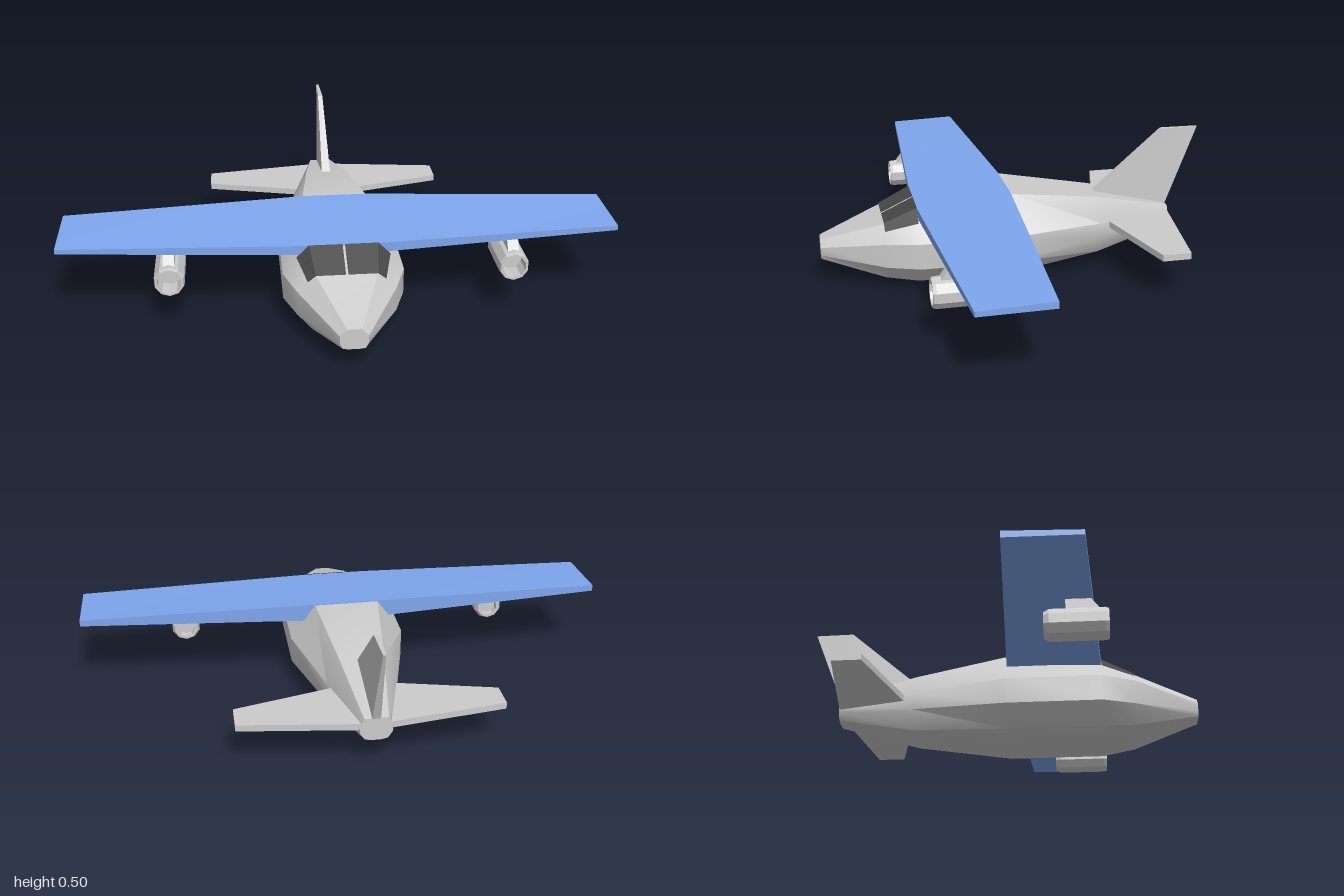
import * as THREE from 'three';
import { toCreasedNormals } from 'three/addons/utils/BufferGeometryUtils.js';

const grey = new THREE.MeshStandardMaterial({ color: 0xcccccc });
const facet = new THREE.MeshStandardMaterial({ color: 0xcccccc, flatShading: true });
const blue = new THREE.MeshStandardMaterial({ color: 0x7ea6ee });
const glass = new THREE.MeshStandardMaterial({ color: 0x484848, side: THREE.DoubleSide });

// Skins a list of equal-length rings of [x, y, z] points and caps both ends
function loft(rings, crease = 0.2) {
  const n = rings[0].length;
  const tris = [];
  for (let i = 0; i < rings.length - 1; i++) {
    for (let j = 0; j < n; j++) {
      const k = (j + 1) % n;
      const [a, b, c, d] = [rings[i][j], rings[i][k], rings[i + 1][k], rings[i + 1][j]];
      tris.push([a, b, c], [a, c, d]);
    }
  }
  const last = rings[rings.length - 1];
  for (let j = 1; j < n - 1; j++) {
    tris.push([rings[0][0], rings[0][j + 1], rings[0][j]], [last[0], last[j], last[j + 1]]);
  }
  // turn the faces outward if the enclosed volume comes out negative
  let volume = 0;
  for (const t of tris) {
    const [a, b, c] = t.map((p) => new THREE.Vector3(...p));
    volume += a.dot(b.cross(c));
  }
  if (volume < 0) tris.forEach((t) => t.reverse());
  const geo = new THREE.BufferGeometry();
  geo.setAttribute('position', new THREE.Float32BufferAttribute(tris.flat(2), 3));
  geo.computeVertexNormals();
  return toCreasedNormals(geo, crease);
}

export function createModel() {
  const model = new THREE.Group();
  const add = (name, geo, mat, parent = model) => {
    const mesh = new THREE.Mesh(geo, mat);
    mesh.name = name;
    parent.add(mesh);
    return mesh;
  };

  // Fuselage: each station is z and the right half of its section, top to bottom
  const stations = [
    [0.73, [[0.025, 0.165], [0.048, 0.14], [0.048, 0.11], [0.038, 0.093], [0.02, 0.09]]],
    [0.5, [[0.105, 0.238], [0.172, 0.183], [0.172, 0.093], [0.12, 0.032], [0.06, 0.02]]],
    [0.38, [[0.12, 0.293], [0.215, 0.19], [0.215, 0.093], [0.15, 0.02], [0.075, 0]]],
    [0.03, [[0.12, 0.323], [0.215, 0.19], [0.215, 0.093], [0.15, 0.02], [0.075, 0]]],
    [-0.32, [[0.08, 0.27], [0.128, 0.18], [0.128, 0.118], [0.09, 0.05], [0.045, 0.035]]],
    [-0.61, [[0.042, 0.2], [0.057, 0.168], [0.057, 0.145], [0.04, 0.12], [0.02, 0.115]]],
  ];
  add('fuselage', loft(stations.map(([z, half]) => [
    ...half.map(([x, y]) => [x, y, z]),
    ...half.slice().reverse().map(([x, y]) => [-x, y, z]),
  ]), 0.6), grey);

  // Windscreen: two bent panes with a narrow centre post between them
  for (const s of [1, -1]) {
    const p = [
      [0.004, 0.242, 0.5], [0.107, 0.242, 0.5], [0.135, 0.219, 0.5],
      [0.166, 0.253, 0.38], [0.122, 0.298, 0.38], [0.004, 0.298, 0.38],
    ].map(([x, y, z]) => [s * x, y, z]);
    const order = [0, 1, 4, 0, 4, 5, 1, 2, 3, 1, 3, 4];
    if (s < 0) order.reverse();
    const pane = new THREE.BufferGeometry();
    pane.setAttribute('position', new THREE.Float32BufferAttribute(order.flatMap((i) => p[i]), 3));
    pane.computeVertexNormals();
    add(s > 0 ? 'leftWindscreen' : 'rightWindscreen', pane, glass);
  }

  // Wing: straight centre section with tapered outer panels
  const wingRoot = [[0.26, 0.38], [0.296, 0.38], [0.326, 0.03], [0.26, 0.03]];
  const wingTip = [[0.28, 0.33], [0.298, 0.33], [0.306, 0.075], [0.282, 0.075]];
  const wingRing = (x, section) => section.map(([y, z]) => [x, y, z]);
  add('wing', loft([
    wingRing(-1, wingTip), wingRing(-0.12, wingRoot),
    wingRing(0.12, wingRoot), wingRing(1, wingTip),
  ]), blue);

  // Tailplane: flat tapered plate through the tail
  const tailRing = (x, front, back) =>
    [[x, 0.157, front], [x, 0.181, front], [x, 0.181, back], [x, 0.157, back]];
  add('tailplane', loft([
    tailRing(-0.47, -0.445, -0.55), tailRing(-0.05, -0.337, -0.609),
    tailRing(0.05, -0.337, -0.609), tailRing(0.47, -0.445, -0.55),
  ]), grey);

  // Fin: swept and thinner at the top
  const finRing = (y0, z0, w0, y1, z1, w1) =>
    [[-w0, y0, z0], [w0, y0, z0], [w1, y1, z1], [-w1, y1, z1]];
  add('fin', loft([
    finRing(0.267, -0.32, 0.017, 0.198, -0.61, 0.015),
    finRing(0.502, -0.585, 0.009, 0.502, -0.73, 0.005),
  ]), grey);

  // Engines: hollow faceted nacelles hung from short pylons
  const nacelle = new THREE.LatheGeometry([
    [0, 0.215], [0.034, 0.215], [0.034, 0.187], [0.045, 0.187], [0.055, 0.205],
    [0.055, 0.39], [0.051, 0.402], [0.043, 0.402], [0.043, 0.33], [0, 0.33],
  ].map(([r, z]) => new THREE.Vector2(r, z)), 10);
  nacelle.rotateX(Math.PI / 2);
  const pylonRing = (y, front, back) =>
    [[-0.02, y, front], [0.02, y, front], [0.02, y, back], [-0.02, y, back]];
  const pylon = loft([pylonRing(0.05, 0.372, 0.26), pylonRing(0.1, 0.335, 0.26)]);
  for (const s of [1, -1]) {
    const engine = new THREE.Group();
    engine.name = s > 0 ? 'leftEngine' : 'rightEngine';
    engine.position.set(s * 0.61, 0.186, 0);
    add('nacelle', nacelle, facet, engine);
    add('pylon', pylon, grey, engine);
    model.add(engine);
  }

  return model;
}
